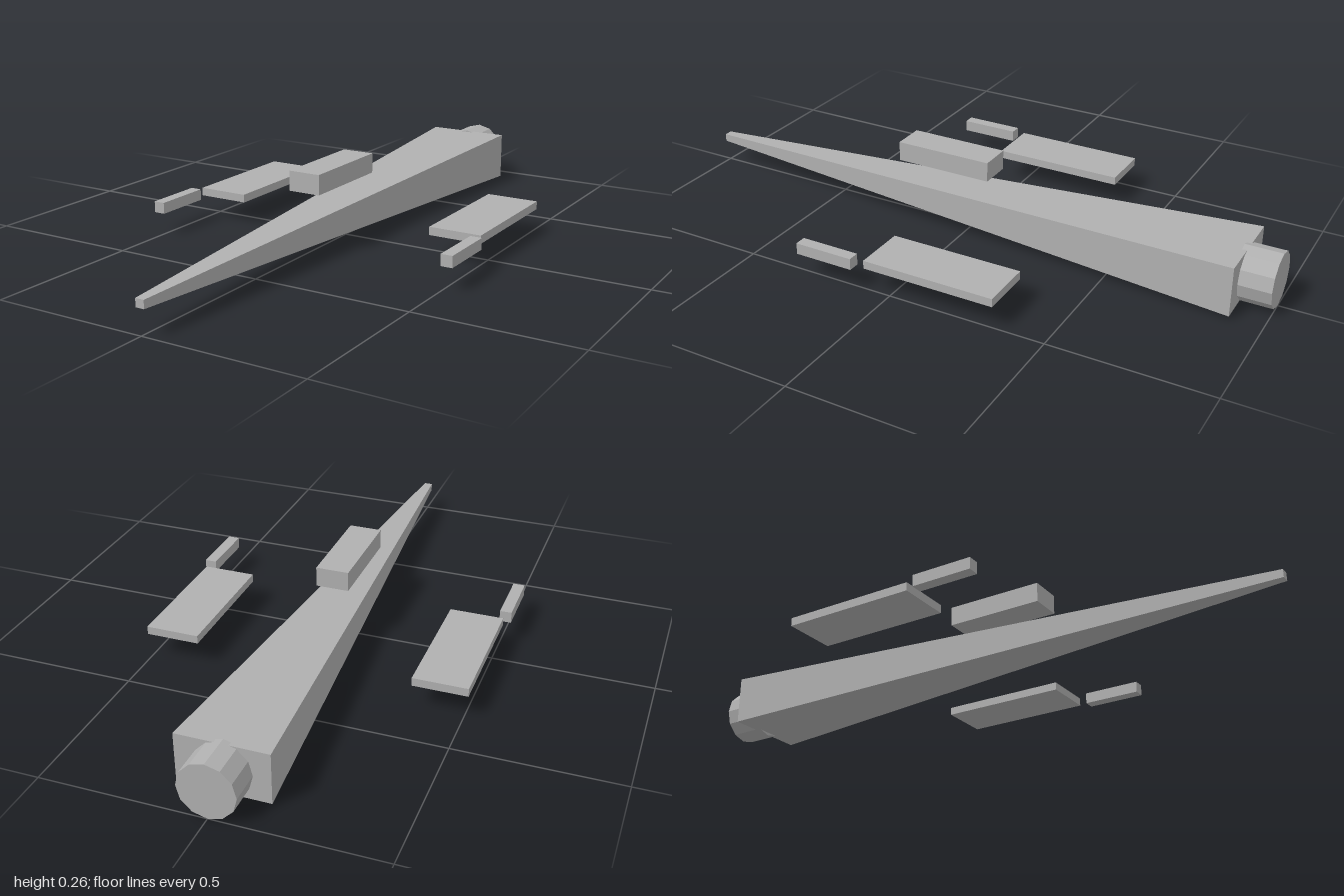
import * as THREE from 'three';

export function createModel() {
  const model = new THREE.Group();
  model.name = 'starfighter';
  const hullGrey = new THREE.MeshStandardMaterial({ color: 0xb0b0b0 });
  hullGrey.name = 'hullGrey';

  function add(name, geometry, x, y, z) {
    const mesh = new THREE.Mesh(geometry, hullGrey);
    mesh.name = name;
    mesh.position.set(x, y, z);
    model.add(mesh);
    return mesh;
  }

  const axisY = 0.088;

  // Fuselage: a box tapering from the wide tail to a small nose
  const noseScale = { x: 0.1, y: 0.16 };
  const hull = new THREE.BoxGeometry(0.276, 0.157, 1.9).toNonIndexed();
  const p = hull.attributes.position;
  for (let i = 0; i < p.count; i++) {
    if (p.getZ(i) > 0) {
      p.setX(i, p.getX(i) * noseScale.x);
      p.setY(i, p.getY(i) * noseScale.y);
    }
  }
  hull.computeVertexNormals();
  add('fuselage', hull, 0, axisY, 0.05);

  // Engine: a faceted drum with a corner uppermost, set into the tail
  const drum = new THREE.CylinderGeometry(0.086, 0.086, 0.115, 12)
    .rotateX(Math.PI / 2).toNonIndexed();
  drum.computeVertexNormals();
  add('engine', drum, 0, 0.086, -0.9425);

  // Cockpit block floating above the fuselage
  add('cockpit', new THREE.BoxGeometry(0.105, 0.063, 0.319), 0, 0.226, 0.082);

  // Detached wings and wingtip cannons, mirrored
  for (const [side, s] of [['left', 1], ['right', -1]]) {
    add(side + 'Wing', new THREE.BoxGeometry(0.17, 0.026, 0.424), s * 0.426, axisY, -0.131);
    add(side + 'Cannon', new THREE.BoxGeometry(0.037, 0.036, 0.191), s * 0.511, axisY, 0.21);
  }

  return model;
}
